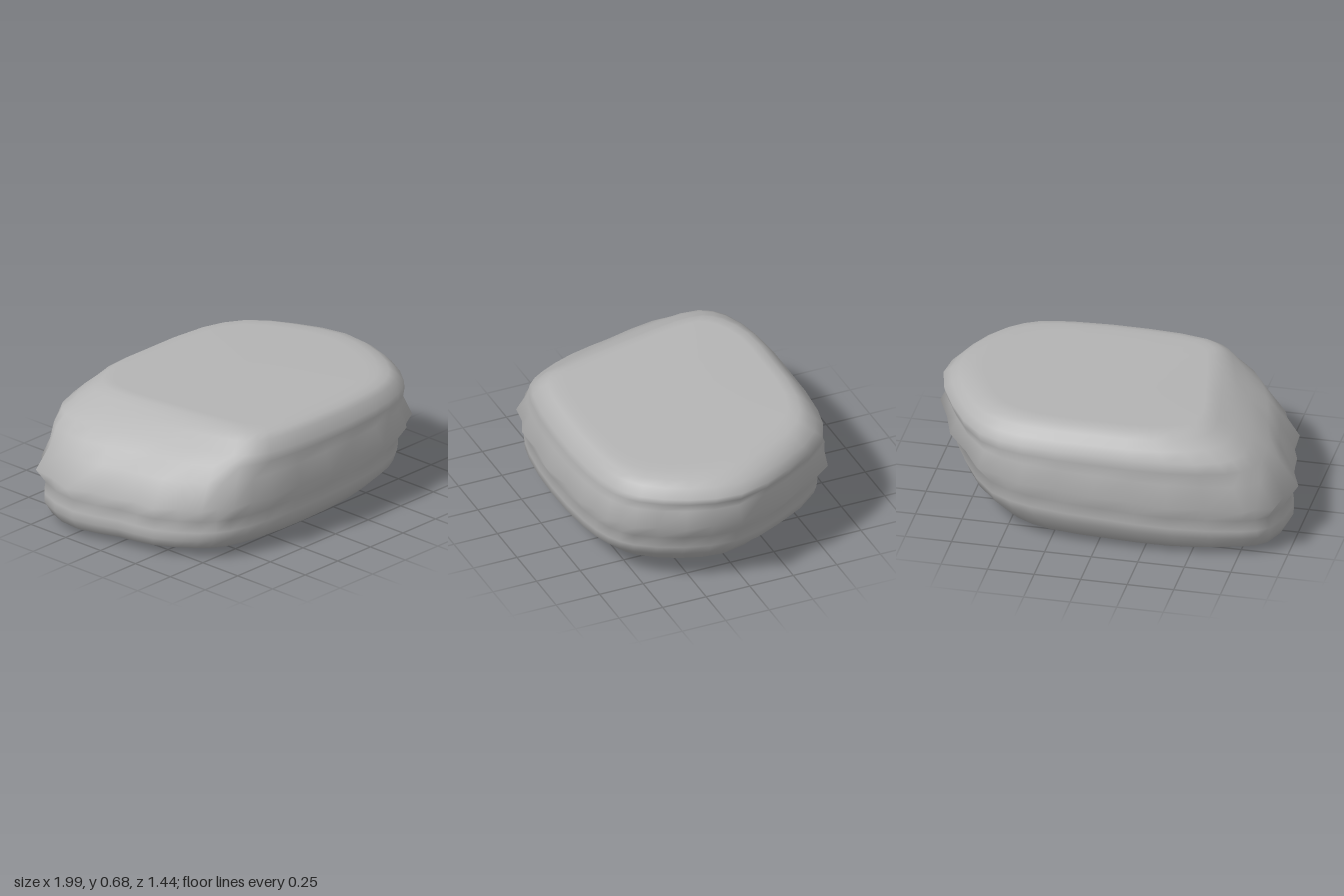
import * as THREE from 'three';

const SEGMENTS = 38; // two per outline point

// Plan outlines [x, z], counter-clockwise from above, starting at +x.
const belly = [[0.99, 0.04], [0.86, -0.3], [0.64, -0.61], [0.4, -0.7], [0, -0.72], [-0.4, -0.71], [-0.79, -0.62], [-0.93, -0.53],
  [-1, -0.25], [-0.93, 0.03], [-0.89, 0.27], [-0.76, 0.5], [-0.63, 0.61], [-0.4, 0.68], [0, 0.72], [0.41, 0.71], [0.64, 0.66], [0.78, 0.57], [0.93, 0.33]];
const shoulder = [[0.97, 0.03], [0.85, -0.3], [0.64, -0.58], [0.4, -0.66], [0, -0.68], [-0.38, -0.67], [-0.65, -0.6], [-0.75, -0.49],
  [-0.75, -0.28], [-0.69, 0], [-0.62, 0.25], [-0.55, 0.45], [-0.49, 0.56], [-0.37, 0.63], [0, 0.67], [0.4, 0.66], [0.63, 0.61], [0.77, 0.52], [0.91, 0.3]];
const crown = [[0.88, 0], [0.79, -0.27], [0.64, -0.49], [0.4, -0.59], [0, -0.61], [-0.3, -0.6], [-0.49, -0.53], [-0.57, -0.44],
  [-0.58, -0.28], [-0.53, 0], [-0.48, 0.25], [-0.44, 0.41], [-0.41, 0.5], [-0.32, 0.57], [0, 0.61], [0.38, 0.6], [0.58, 0.56], [0.71, 0.47], [0.83, 0.27]];

const outline = (plan) => new THREE.CatmullRomCurve3(
  plan.map(([x, z]) => new THREE.Vector3(x, 0, z)), true, 'centripetal');
const [B, S, C] = [belly, shoulder, crown].map(outline);

// Stacked layers: two outlines and their blend, scale, x shift, height, tilt
// along x and z, and the scale of every second point (notch).
const layer = (a, b, t, scale, shift, y, tx, tz, notch = 1) => ({ a, b, t, scale, shift, y, tx, tz, notch });
const layers = [
  layer(B, B, 0, 0.7, -0.05, 0.025, 0.025, 0.02),
  layer(B, B, 0, 0.79, -0.05, 0.03, 0.03, 0.02),
  layer(B, B, 0, 0.865, -0.075, 0.075, 0.035, 0.02),
  layer(B, B, 0, 0.93, -0.04, 0.14, 0.045, 0),
  layer(B, B, 0, 0.94, -0.025, 0.19, 0.05, 0),
  layer(B, B, 0, 0.935, -0.02, 0.25, 0.05, 0),
  layer(B, B, 0, 1, 0, 0.335, 0.06, 0, 0.97),
  layer(B, S, 0.25, 0.96, 0, 0.445, 0.04, 0),
  layer(B, S, 0.6, 0.985, 0, 0.51, 0.02, 0),
  layer(S, S, 0, 1, 0, 0.555, 0.01, -0.01),
  layer(S, C, 0.5, 1, 0, 0.605, 0, 0),
  layer(C, C, 0, 1, 0, 0.638, 0, -0.015),
  layer(C, C, 0, 0.93, 0, 0.656, 0, -0.03),
  layer(C, C, 0, 0.84, 0, 0.661, 0, -0.035),
];

function loftStone() {
  const positions = [];
  const index = [];
  for (const { a, b, t, scale, shift, y, tx, tz, notch } of layers) {
    for (let i = 0; i < SEGMENTS; i++) {
      const p = a.getPoint(i / SEGMENTS).lerp(b.getPoint(i / SEGMENTS), t);
      p.multiplyScalar(i % 2 ? scale * notch : scale);
      p.x += shift;
      positions.push(p.x, y + tx * p.x + tz * p.z, p.z);
    }
  }
  // Flat centres of the underside and the top
  const bottom = layers.length * SEGMENTS;
  const top = bottom + 1;
  positions.push(-0.05, 0.023, 0, 0.1, 0.662, 0);

  const last = (layers.length - 1) * SEGMENTS;
  for (let i = 0; i < SEGMENTS; i++) {
    const j = (i + 1) % SEGMENTS;
    for (let r = 0; r < last; r += SEGMENTS) {
      index.push(r + i, r + j, r + SEGMENTS + j, r + i, r + SEGMENTS + j, r + SEGMENTS + i);
    }
    index.push(bottom, j, i, top, last + i, last + j);
  }
  const geometry = new THREE.BufferGeometry();
  geometry.setAttribute('position', new THREE.Float32BufferAttribute(positions, 3));
  geometry.setIndex(index);
  geometry.computeVertexNormals();
  return geometry;
}

export function createModel() {
  const group = new THREE.Group();
  group.name = 'rock';
  const stoneGrey = new THREE.MeshStandardMaterial({ color: 0xb4b4b4 });
  stoneGrey.name = 'stoneGrey';
  const stone = new THREE.Mesh(loftStone(), stoneGrey);
  stone.name = 'stoneBody';
  group.add(stone);
  return group;
}
